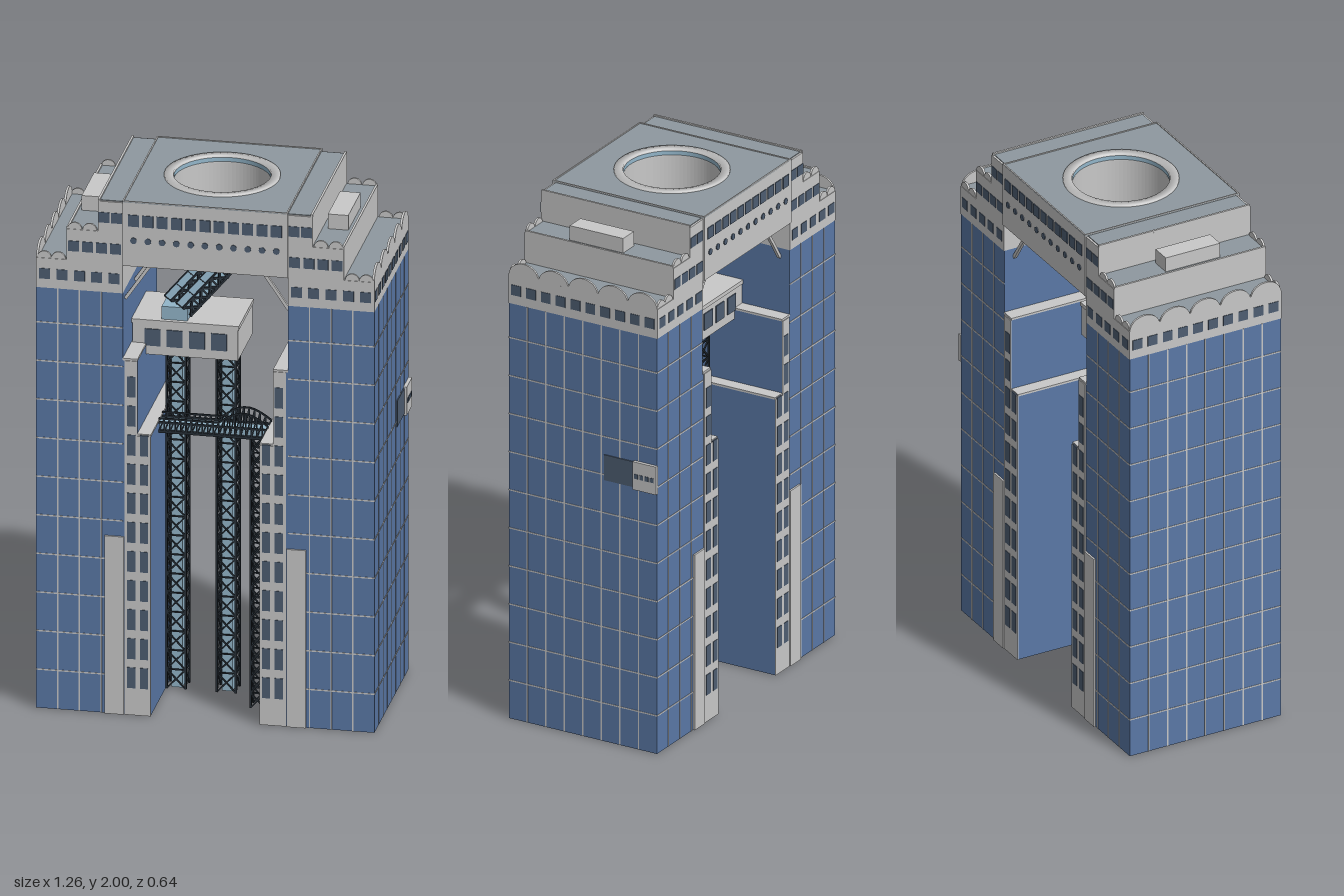
import * as THREE from 'three';
import { mergeGeometries } from 'three/addons/utils/BufferGeometryUtils.js';

const paint = (name, color, side = THREE.FrontSide) => {
  const m = new THREE.MeshStandardMaterial({ color, side });
  m.name = name;
  return m;
};
const V = (x, y, z) => new THREE.Vector3(x, y, z);

// box between two opposite corners
const block = (x0, x1, y0, y1, z0, z1) =>
  new THREE.BoxGeometry(Math.abs(x1 - x0), y1 - y0, Math.abs(z1 - z0))
    .translate((x0 + x1) / 2, (y0 + y1) / 2, (z0 + z1) / 2);

// square bar from a to b
const bar = (a, b, t) => {
  const o = new THREE.Object3D();
  o.position.copy(a).add(b).multiplyScalar(0.5);
  o.lookAt(b);
  o.updateMatrix();
  return new THREE.BoxGeometry(t, t, a.distanceTo(b)).applyMatrix4(o.matrix);
};

// box without its underside
const openBlock = (...c) => {
  const g = block(...c), i = Array.from(g.index.array);
  i.splice(18, 6);
  g.setIndex(i);
  g.clearGroups();
  return g;
};

// four-sided lattice of posts, rings and crossed braces, rising along y
const lattice = (w, h, n, t) => {
  const out = [], r = w / 2, c = [[-r, -r], [r, -r], [r, r], [-r, r]];
  for (let k = 0; k < 4; k++) {
    const [ax, az] = c[k], [bx, bz] = c[(k + 1) % 4];
    out.push(bar(V(ax, 0, az), V(ax, h, az + 1e-5), t * 1.5));
    for (let i = 0; i < n; i++) {
      const y0 = (h * i) / n, y1 = (h * (i + 1)) / n;
      out.push(bar(V(ax, y0, az), V(bx, y1, bz), t), bar(V(ax, y1, az), V(bx, y0, bz), t));
      out.push(bar(V(ax, y1, az), V(bx, y1, bz), t));
    }
  }
  return mergeGeometries(out);
};

export function createModel() {
  const blue = paint('blue glass', 0x5a78a6, THREE.DoubleSide);
  const grey = paint('light grey stone', 0xc8c8c8, THREE.DoubleSide);
  const roof = paint('slate roof', 0x8e989f);
  const pane = paint('dark window', 0x4e5e72);
  const steel = paint('dark steel', 0x262e36);
  const glass = paint('pale blue glass', 0x93b6ca, THREE.DoubleSide);

  const model = new THREE.Group();
  model.name = 'twinTowerBuilding';
  const body = new THREE.Group();
  body.name = 'building';
  body.position.x = -0.0065;
  model.add(body);
  const add = (name, geo, mat, parent = body) => {
    const m = new THREE.Mesh(Array.isArray(geo) ? mergeGeometries(geo) : geo, mat);
    m.name = name;
    parent.add(m);
    return m;
  };

  const X0 = 0.3035, X1 = 0.6215, Z = 0.312, TOP = 1.635;
  // outer edge, base, top and window count of each crown tier
  const tiers = [[X1, TOP, 1.75, 5], [0.51, 1.75, 1.87, 4], [0.395, 1.87, 1.987, 2]];

  for (const s of [1, -1]) {
    const side = new THREE.Group();
    side.name = s > 0 ? 'leftTower' : 'rightTower';
    body.add(side);
    add('glassShaft', openBlock(s * X0, s * X1, 0, TOP, -Z, Z), blue, side);

    // facade grid
    const grid = [], e = 0.0015, t = 0.0025;
    for (let i = 1; i <= 10; i++) {
      const y = i * 0.15;
      for (const f of [1, -1]) grid.push(block(s * X0, s * X1, y - t, y + t, f * Z, f * (Z + e)));
      grid.push(block(s * X1, s * (X1 + e), y - t, y + t, -Z, Z));
    }
    for (let i = 1; i < 4; i++) {
      const x = s * (X0 + i * 0.0795);
      for (const f of [1, -1]) grid.push(block(x - t, x + t, 0, TOP, f * Z, f * (Z + e)));
    }
    for (let i = 1; i < 8; i++) {
      const z = -Z + i * 0.078;
      grid.push(block(s * X1, s * (X1 + e), 0, TOP, z - t, z + t));
    }
    add('facadeGrid', grid, grey, side);

    // stepped crown with windows and roof slabs
    const crown = [], wins = [], slabs = [], trims = [];
    for (const [x, y0, y1, n] of tiers) {
      crown.push(block(s * X0, s * x, y0, y1, -Z - 0.002, Z + 0.002));
      slabs.push(block(s * X0, s * (x - 0.006), y1, y1 + 0.003, -Z + 0.006, Z - 0.006));
      trims.push(block(s * x, s * (x - 0.008), y1, y1 + 0.008, -Z, Z));
      const p = (x - X0) / n, ym = y0 + 0.055;
      for (let i = 0; i < n; i++) for (const f of [1, -1]) {
        const c = s * (X0 + p * (i + 0.5));
        wins.push(block(c - 0.02, c + 0.02, ym - 0.02, ym + 0.02, f * Z, f * (Z + 0.004)));
      }
    }
    for (let i = 0; i < 10; i++) {
      const z = -Z + 0.0624 * (i + 0.5);
      wins.push(block(s * X1, s * (X1 + 0.002), 1.67, 1.71, z - 0.02, z + 0.02));
    }
    add('crown', crown, grey, side);
    add('crownWindows', wins, pane, side);
    add('crownRoofs', slabs, roof, side);
    add('roofTrim', trims, grey, side);

    // arched parapets: five large along the side, small pairs front and back
    const arch = (r, h) => new THREE.CylinderGeometry(r, r, 0.008, 20, 1, false, Math.PI / 2, Math.PI)
      .rotateX(Math.PI / 2).scale(1, h / r, 1);
    const arches = [];
    for (let i = 0; i < 5; i++)
      arches.push(arch(0.061, 0.05).rotateY(Math.PI / 2).translate(s * (X1 - 0.004), 1.75, (i - 2) * 0.125));
    for (const f of [1, -1]) for (const [x, y] of [[0.592, 1.75], [0.54, 1.75], [0.48, 1.87], [0.425, 1.87]])
      arches.push(arch(0.026, 0.026).translate(s * x, y, f * (Z - 0.004)));
    add('archedParapet', arches, grey, side);
    add('roofPenthouse', block(s * 0.415, s * 0.49, 1.87, 1.93, -0.09, 0.135), grey, side);

    // stepped service core on the inner face
    const zc = Z + 0.001;
    add('coreLower', openBlock(s * 0.201, s * X0, 0, 1.085, -Z, Z), blue, side);
    add('coreUpper', block(s * 0.25, s * X0, 1.085, 1.375, -Z, Z), blue, side);
    const caps = [block(s * 0.2, s * 0.25, 1.085, 1.093, -zc, zc), block(s * 0.249, s * X0, 1.375, 1.383, -zc, zc)];
    const coreWins = [];
    for (const f of [1, -1]) {
      caps.push(block(s * 0.2, s * 0.297, 0, 1.085, f * Z, f * (Z + 0.004)));
      caps.push(block(s * 0.249, s * 0.297, 1.085, 1.375, f * Z, f * (Z + 0.004)));
      caps.push(block(s * 0.299, s * 0.37, 0, 0.69, f * Z, f * (Z + 0.007)));
      for (let i = 0; i < 11; i++) {
        const y = 0.105 + i * 0.113, xs = y < 1.03 ? [0.224, 0.271] : [0.271];
        for (const x of xs)
          coreWins.push(block(s * (x - 0.015), s * (x + 0.015), y, y + 0.08, f * Z, f * (Z + 0.006)));
      }
    }
    add('coreCladding', caps, grey, side);
    add('coreWindows', coreWins, pane, side);

    // diagonal struts under the sky bridge
    add('bridgeStruts', [-0.27, -0.09, 0.09, 0.27].map(z =>
      bar(V(s * 0.302, 1.6, z), V(s * 0.2, 1.75, z), 0.012)), grey, side);
  }

  // sky bridge with a round opening
  const plan = new THREE.Shape([[-X0, -0.319], [X0, -0.319], [X0, 0.319], [-X0, 0.319]].map(p => new THREE.Vector2(...p)));
  plan.holes.push(new THREE.Path().absarc(0, 0, 0.178, 0, Math.PI * 2, true));
  const slab = (y, h) => new THREE.ExtrudeGeometry(plan, { depth: h, bevelEnabled: false, curveSegments: 40 })
    .rotateX(-Math.PI / 2).translate(0, y, 0);
  add('skyBridge', slab(1.745, 0.246), grey);
  add('skyBridgeRoof', slab(1.991, 0.003), roof);
  add('bridgeTrim', [1, -1].flatMap(s => [
    block(s * X0, s * (X0 - 0.005), 1.99, 1.997, -0.319, 0.319),
    block(-X0, X0, 1.99, 1.997, s * 0.319, s * 0.314)]), grey);
  add('openingRim', new THREE.LatheGeometry([[0.177, 1.97], [0.21, 1.97], [0.21, 2], [0.177, 2], [0.177, 1.97]]
    .map(p => new THREE.Vector2(...p)), 48), grey);
  add('openingGlassBand', new THREE.CylinderGeometry(0.1755, 0.1755, 0.016, 48, 1, true).translate(0, 1.985, 0), glass);
  const bridgeWins = [];
  for (let i = -5; i <= 5; i++) for (const f of [1, -1]) {
    const x = i * 0.0525;
    bridgeWins.push(block(x - 0.02, x + 0.02, 1.9, 1.945, f * 0.318, f * 0.322));
    bridgeWins.push(new THREE.CylinderGeometry(0.012, 0.012, 0.004, 16).rotateX(Math.PI / 2).translate(x, 1.845, f * 0.32));
  }
  add('bridgeWindows', bridgeWins, pane);

  // suspended lobby
  add('lobby', block(-0.3, 0.088, 1.34, 1.46, -0.113, 0.153), grey);
  add('lobbyRoof', block(-0.303, 0.092, 1.46, 1.475, -0.117, 0.157), grey);
  const lobbyWins = [];
  for (let i = 0; i < 4; i++) for (const [z, f] of [[0.153, 1], [-0.113, -1]]) {
    const x = -0.225 + i * 0.081;
    lobbyWins.push(block(x - 0.029, x + 0.029, 1.375, 1.44, z, z + f * 0.004));
  }
  add('lobbyWindows', lobbyWins, pane);

  // lift shafts
  for (const [x, z, w, h, n] of [[-0.163, 0, 0.07, 1.34, 18], [0.022, 0, 0.07, 1.34, 18], [0.162, 0.135, 0.052, 1.05, 18]]) {
    const shaft = new THREE.Group();
    shaft.name = 'liftShaft';
    shaft.position.set(x, 0, z);
    body.add(shaft);
    add('shaftLattice', lattice(w, h, n, 0.005), steel, shaft);
    if (w > 0.06) add('liftGlass', block(-0.02, 0.02, 0, h, -0.02, 0.02), glass, shaft);
  }

  // walkway with railing truss and arched half
  add('walkwayDeck', block(-0.2, 0.2, 1.045, 1.055, 0.1, 0.17), steel);
  add('walkwayGlass', block(-0.2, 0.2, 1.055, 1.083, 0.112, 0.158), glass);
  const rails = [];
  for (const z of [0.103, 0.167]) {
    const top = x => (x < 0.02 ? 1.1 : 1.1 + 0.042 * Math.sin(Math.PI * (x - 0.02) / 0.18));
    rails.push(bar(V(-0.2, 1.085, z), V(0.2, 1.085, z), 0.007));
    for (let i = 0; i < 20; i++) {
      const a = -0.2 + i * 0.02, b = a + 0.02;
      rails.push(bar(V(a, top(a), z), V(b, top(b), z), 0.006));
      rails.push(bar(V(a, 1.05, z), V(b, top(b), z), 0.005), bar(V(b, 1.05, z), V(b + 1e-4, top(b), z), 0.005));
    }
  }
  add('walkwayTruss', rails, steel);

  // twin escalator tubes rising to the opening
  add('escalatorLanding', block(-0.195, -0.1, 1.475, 1.525, 0.05, 0.14), glass);
  for (const [dx, dz] of [[0, 0], [0.055, 0.06]]) {
    const tube = new THREE.Group(), L = 0.485, n = 10;
    tube.name = 'escalatorTube';
    tube.position.set(-0.172 + dx, 1.51, 0.062 + dz);
    tube.lookAt(tube.position.clone().add(V(0.3, 0.32, -0.225)));
    body.add(tube);
    add('tubeRoof', block(-0.024, 0.024, 0.024, 0.028, 0, L), glass, tube);
    add('tubeGlass', block(-0.017, 0.017, -0.018, 0.024, 0, L), glass, tube);
    add('tubeFloor', block(-0.026, 0.026, -0.028, -0.02, 0, L), steel, tube);
    const ribs = [];
    for (const x of [-0.026, 0.026]) {
      ribs.push(bar(V(x, 0.026, 0), V(x, 0.026, L), 0.007));
      for (let i = 0; i < n; i++) {
        const a = (L * i) / n, b = (L * (i + 1)) / n;
        ribs.push(bar(V(x, -0.025, a), V(x, 0.026, b), 0.008), bar(V(x, 0.026, a), V(x, -0.025, b), 0.008));
        ribs.push(bar(V(x, -0.025, b), V(x, 0.026, b + 1e-4), 0.007));
      }
    }
    for (let i = 0; i <= 8; i++) ribs.push(block(-0.026, 0.026, 0.026, 0.03, L * i / 8 - 0.002, L * i / 8 + 0.002));
    add('tubeFrame', ribs, steel, tube);
  }

  // side sign box without lettering, and its dark panel
  add('sideBox', block(X1, X1 + 0.013, 1.025, 1.135, -0.315, -0.217), grey);
  add('sidePanel', block(X1, X1 + 0.004, 1.03, 1.13, -0.217, -0.09), pane);
  add('sideBoxSlots', [0, 1, 2, 3].map(i =>
    block(X1 + 0.012, X1 + 0.015, 1.07, 1.088, -0.305 + i * 0.022, -0.29 + i * 0.022)), pane);

  return model;
}
